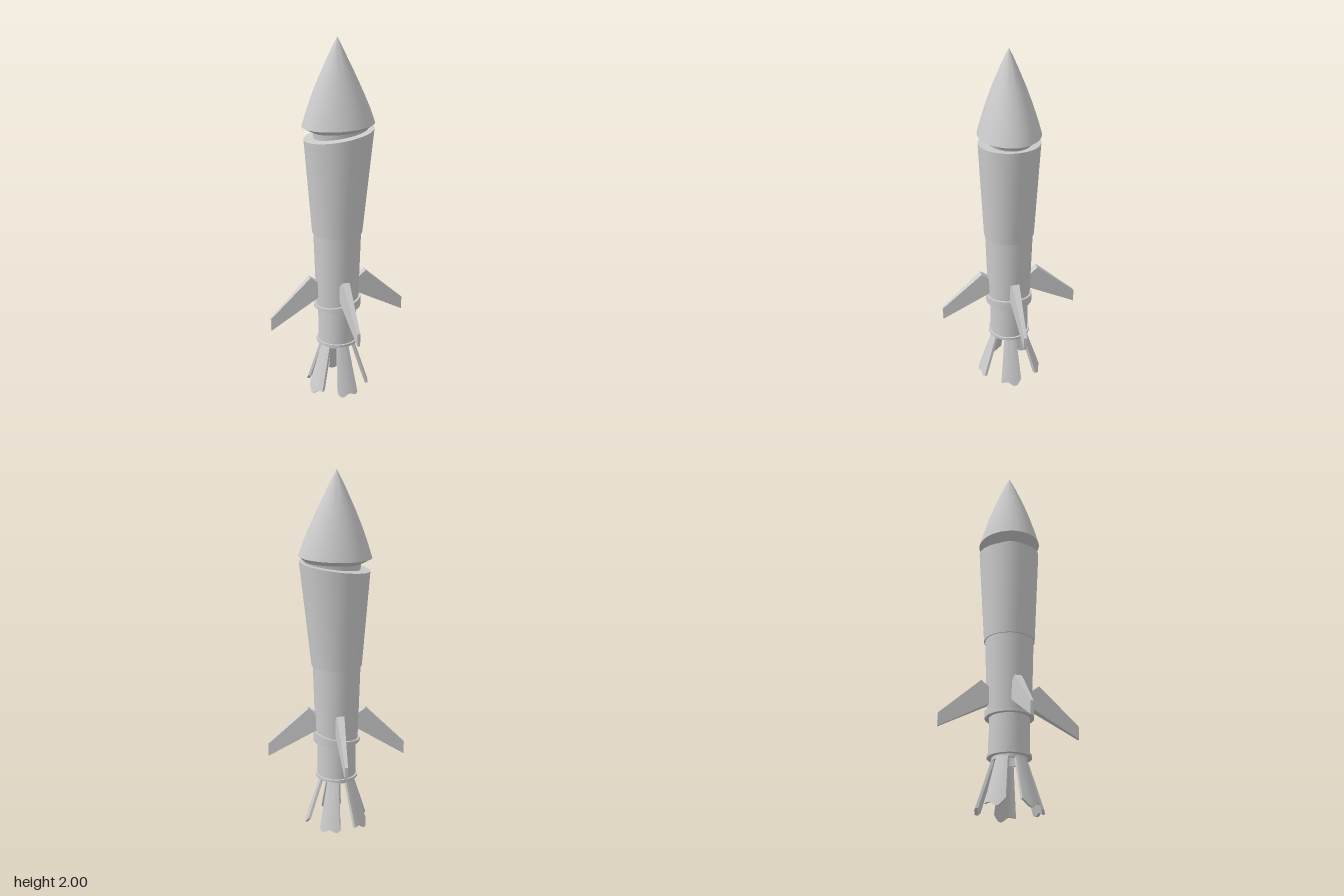
import * as THREE from 'three';
import { toCreasedNormals } from 'three/addons/utils/BufferGeometryUtils.js';

const SIDES = 40;
const material = new THREE.MeshStandardMaterial({ color: 0xcccccc });
const thinMaterial = new THREE.MeshStandardMaterial({ color: 0xcccccc, side: THREE.DoubleSide });

function makeMesh(name, geometry, mat = material) {
  const mesh = new THREE.Mesh(geometry, mat);
  mesh.name = name;
  return mesh;
}

// Skins elliptical rings [y, radiusX, radiusZ, centreX, tilt]; tilt raises the +x edge
function loft(rings) {
  const pos = [], index = [], row = SIDES + 1;
  rings.forEach(([y, rx, rz = rx, cx = 0, tilt = 0], i) => {
    for (let j = 0; j <= SIDES; j++) {
      const a = (j / SIDES) * Math.PI * 2;
      pos.push(cx + rx * Math.sin(a), y + tilt * Math.sin(a), rz * Math.cos(a));
    }
    if (i === 0) return;
    for (let j = 0; j < SIDES; j++) {
      const a = (i - 1) * row + j, d = i * row + j;
      if (rings[i - 1][1] > 0) index.push(a, a + 1, d + 1);
      if (rx > 0) index.push(a, d + 1, d);
    }
  });
  const g = new THREE.BufferGeometry();
  g.setAttribute('position', new THREE.Float32BufferAttribute(pos, 3));
  g.setIndex(index);
  return toCreasedNormals(g, 0.45);
}

// Swept fin pointing to +x, thinning towards its tip
function finGeometry(drop) {
  const shape = new THREE.Shape([
    [0.1, 0.65], [0.16, 0.7 - drop * 0.3], [0.383, 0.5 - drop],
    [0.383, 0.428 - drop], [0.1, 0.58],
  ].map(([x, y]) => new THREE.Vector2(x, y)));
  const g = new THREE.ExtrudeGeometry(shape, { depth: 1, bevelEnabled: false });
  const p = g.attributes.position;
  for (let i = 0; i < p.count; i++) {
    const half = THREE.MathUtils.mapLinear(p.getX(i), 0.15, 0.383, 0.021, 0.008);
    p.setZ(i, (p.getZ(i) - 0.5) * 2 * half);
  }
  g.computeVertexNormals();
  return g;
}

// Flared nozzle plate pointing to +x, with a ragged lower edge
function petalGeometry(k) {
  const cols = 8;
  const g = new THREE.BoxGeometry(1, 1, 1, 1, 4, cols);
  const p = g.attributes.position;
  for (let i = 0; i < p.count; i++) {
    const s = p.getZ(i) * 2;            // -1..1 across the plate
    const t = 0.5 - p.getY(i);          // 0 top, 1 bottom
    const ragged = 0.012 + 0.012 * Math.sin(s * 4 + k * 2) + 0.018 * s * s;
    const bottom = Math.max(0, ragged);
    const y = THREE.MathUtils.lerp(0.285, bottom, t);
    const f = (0.285 - y) / 0.285;
    const half = 0.033 + 0.027 * f;
    const r = 0.085 + 0.091 * f + p.getX(i) * 0.014;
    const z = s * half;
    p.setXYZ(i, Math.sqrt(r * r - z * z), y, z); // bent around the axis
  }
  return toCreasedNormals(g, 0.6);
}

export function createModel() {
  const rocket = new THREE.Group();
  rocket.name = 'rocket';

  // Nose cone with its inset neck
  rocket.add(makeMesh('noseCone', loft([
    [1.45, 0.135, 0.105, 0.01, 0], [1.513, 0.15, 0.112, 0.02, 0.008],
    [1.543, 0.196, 0.167, 0.007, 0.007], [1.62, 0.171, 0.146, 0.006, 0.004],
    [1.71, 0.136, 0.118, 0.004], [1.8, 0.097, 0.086, 0.002],
    [1.9, 0.05, 0.046], [1.96, 0.021, 0.02], [2, 0, 0],
  ])));

  // Flared upper body with a slanted top rim
  rocket.add(makeMesh('upperBody', loft([
    [0.945, 0.12], [0.945, 0.138, 0.137],
    [1.4925, 0.19, 0.164, 0.01, 0.0275], [1.4925, 0, 0, 0.01, 0],
  ])));

  // Lower body, slanted collar and engine section
  rocket.add(makeMesh('lowerBody', loft([
    [0.51, 0.117], [0.945, 0.131],
  ])));
  rocket.add(makeMesh('collar', loft([
    [0.505, 0.1], [0.505, 0.13], [0.5425, 0.13, 0.13, 0, 0.0225], [0.5425, 0.11, 0.11, 0, 0.0225],
  ])));
  rocket.add(makeMesh('engineSection', loft([[0.3, 0.107], [0.51, 0.107]])));
  rocket.add(makeMesh('engineRing', loft([
    [0.29, 0.09], [0.29, 0.117], [0.305, 0.117], [0.305, 0.1],
  ])));

  // Hollow nozzle throat
  rocket.add(makeMesh('nozzleThroat', loft([
    [0.34, 0], [0.34, 0.076], [0.272, 0.076], [0.272, 0.093], [0.295, 0.093],
  ]), thinMaterial));

  // Four fins; the one on the right side sits lower
  for (let i = 0; i < 4; i++) {
    const fin = makeMesh('fin', finGeometry(i === 2 ? 0.03 : 0));
    fin.rotation.y = (i * Math.PI) / 2;
    rocket.add(fin);
  }

  // Five unevenly spaced nozzle plates
  [8, 86, 155, 222, 291].forEach((deg, k) => {
    const petal = makeMesh('nozzlePetal', petalGeometry(k));
    petal.rotation.y = -THREE.MathUtils.degToRad(deg);
    rocket.add(petal);
  });

  return rocket;
}
